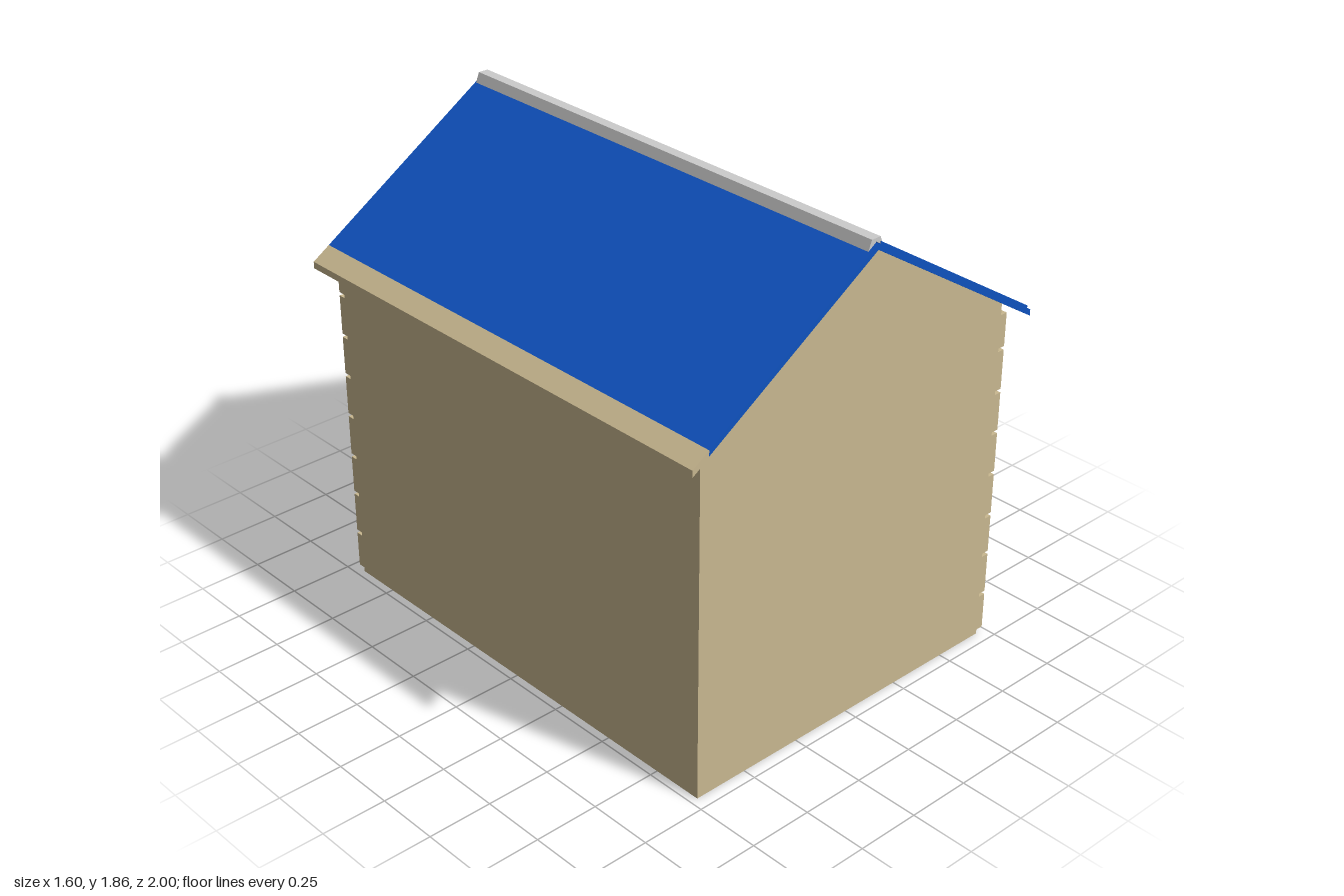
import * as THREE from 'three';

const mat = (color) => new THREE.MeshStandardMaterial({ color, flatShading: true });

export function createModel() {
  const shed = new THREE.Group();
  shed.name = 'shed';
  const tan = mat(0xc9b890), blue = mat(0x0f52bf), violet = mat(0x7f88cb);
  const orange = mat(0xe44d10), grey = mat(0xcccccc);

  const add = (name, geometry, material) => {
    const mesh = new THREE.Mesh(geometry, material);
    mesh.name = name;
    shed.add(mesh);
    return mesh;
  };
  // Box given by its two extreme corners
  const box = (name, material, x0, x1, y0, y1, z0, z1) =>
    add(name, new THREE.BoxGeometry(x1 - x0, y1 - y0, z1 - z0), material)
      .position.set((x0 + x1) / 2, (y0 + y1) / 2, (z0 + z1) / 2);
  // Outline in x and y, extruded from z0 to z1
  const prism = (name, material, points, z0, z1, holes = []) => {
    const toVec = (p) => new THREE.Vector2(p[0], p[1]);
    const shape = new THREE.Shape(points.map(toVec));
    for (const h of holes) shape.holes.push(new THREE.Path(h.map(toVec)));
    const geo = new THREE.ExtrudeGeometry(shape, { depth: z1 - z0, bevelEnabled: false });
    geo.translate(0, 0, z0);
    return add(name, geo, material);
  };
  const rect = (x0, x1, y0, y1) => [[x0, y0], [x1, y0], [x1, y1], [x0, y1]];

  // Walls: a solid gabled core, with the back gable standing proud of it
  const pitch = 0.635;
  const wallTop = (x) => 1.82 - pitch * Math.abs(x);
  const outline = (y0, xr) => [[-0.72, y0], [xr, y0], [xr, wallTop(xr)], [0, 1.82], [-0.72, wallTop(0.72)]];
  prism('walls', tan, outline(0, 0.705), -0.93, 0.95);
  prism('backGable', tan, outline(1.33, 0.735), -0.96, -0.93);

  // Horizontal boards on the right and back walls, parted by grooves
  const grooves = [0.01, 0.17, 0.345, 0.51, 0.685, 0.855, 1.02, 1.19];
  grooves.forEach((g, i) => {
    const y0 = g + 0.007;
    const y1 = i < grooves.length - 1 ? grooves[i + 1] - 0.007 : 1.328;
    box('sideBoard', tan, 0.705, 0.735, y0, y1, -0.93, 0.95);
    box('backBoard', tan, -0.72, 0.705, y0, y1, -0.96, -0.93);
  });
  box('cornerTrimSide', grey, 0.705, 0.75, 0, 1.34, -0.975, -0.925);
  box('cornerTrimBack', grey, 0.69, 0.75, 0, 1.33, -0.975, -0.94);

  // Roof: strip of a slope between two x positions, measured from the wall line
  const slope = (name, material, side, xa, xb, low, high, z0, z1) => {
    const y = (x, d) => wallTop(x) + d;
    prism(name, material, [
      [side * xa, y(xa, low)], [side * xb, y(xb, low)],
      [side * xb, y(xb, high)], [side * xa, y(xa, high)],
    ], z0, z1);
  };
  slope('leftRoof', blue, -1, 0, 0.73, 0, 0.022, -0.99, 1);
  slope('leftEave', tan, -1, 0.73, 0.8, -0.004, 0.022, -0.99, 1);
  slope('rightRoof', blue, 1, 0, 0.8, 0, 0.024, -0.99, 1);

  // Tinted roof sheets with raised ribs between them
  const edges = [0.957, 0.85, 0.676, 0.516, 0.351, 0.183, 0.024, -0.142, -0.306, -0.464, -0.63, -0.793, -0.955];
  for (let i = 0; i < edges.length - 1; i++) {
    const z1 = edges[i] - (i ? 0.015 : 0);
    const z0 = edges[i + 1] + (i ? 0.015 : 0.027);
    slope('roofSheet', violet, 1, 0.02, 0.73, 0.022, 0.028, z0, z1);
    const half = i === 0 ? 0.027 : 0.016;
    slope('roofRib', blue, 1, 0.02, 0.795, 0.022, 0.034, edges[i + 1] - half, edges[i + 1] + half);
  }
  slope('roofRib', blue, 1, 0.02, 0.795, 0.022, 0.034, 0.957, 0.99);

  // Ridge cap
  prism('ridgeCap', grey, [[-0.035, 1.82], [0.035, 1.82], [0.02, 1.857], [-0.02, 1.857]], -0.985, 0.988);

  // Window on the right wall
  box('windowSill', tan, 0.73, 0.782, 0.75, 0.79, -0.43, 0.455);
  box('windowHead', tan, 0.73, 0.782, 1.23, 1.27, -0.43, 0.455);
  box('windowJamb', tan, 0.73, 0.782, 0.79, 1.23, -0.43, -0.387);
  box('windowJamb', tan, 0.73, 0.782, 0.79, 1.23, 0.413, 0.455);
  box('windowMullion', tan, 0.73, 0.772, 0.79, 1.23, -0.013, 0.043);
  box('windowPane', orange, 0.73, 0.745, 0.79, 1.23, -0.387, 0.413);

  // Door in the back wall: frame, leaf with four openings, raised panels inside
  prism('doorFrame', grey, [
    [-0.385, 0], [-0.315, 0], [-0.315, 1.245], [0.3, 1.245], [0.3, 0],
    [0.37, 0], [0.37, 1.325], [-0.385, 1.325],
  ], -1, -0.955);
  const openings = [];
  for (const [x0, x1] of [[-0.255, -0.045], [0.035, 0.245]]) {
    for (const [y0, y1] of [[0.1, 0.56], [0.64, 1.15]]) {
      openings.push(rect(x0, x1, y0, y1));
      box('doorPanel', grey, x0 + 0.022, x1 - 0.022, y0 + 0.022, y1 - 0.022, -0.976, -0.96);
    }
  }
  prism('doorLeaf', grey, rect(-0.315, 0.3, 0.01, 1.245), -0.982, -0.964, openings);
  box('doorBacking', grey, -0.315, 0.3, 0.01, 1.245, -0.964, -0.955);

  return shed;
}
